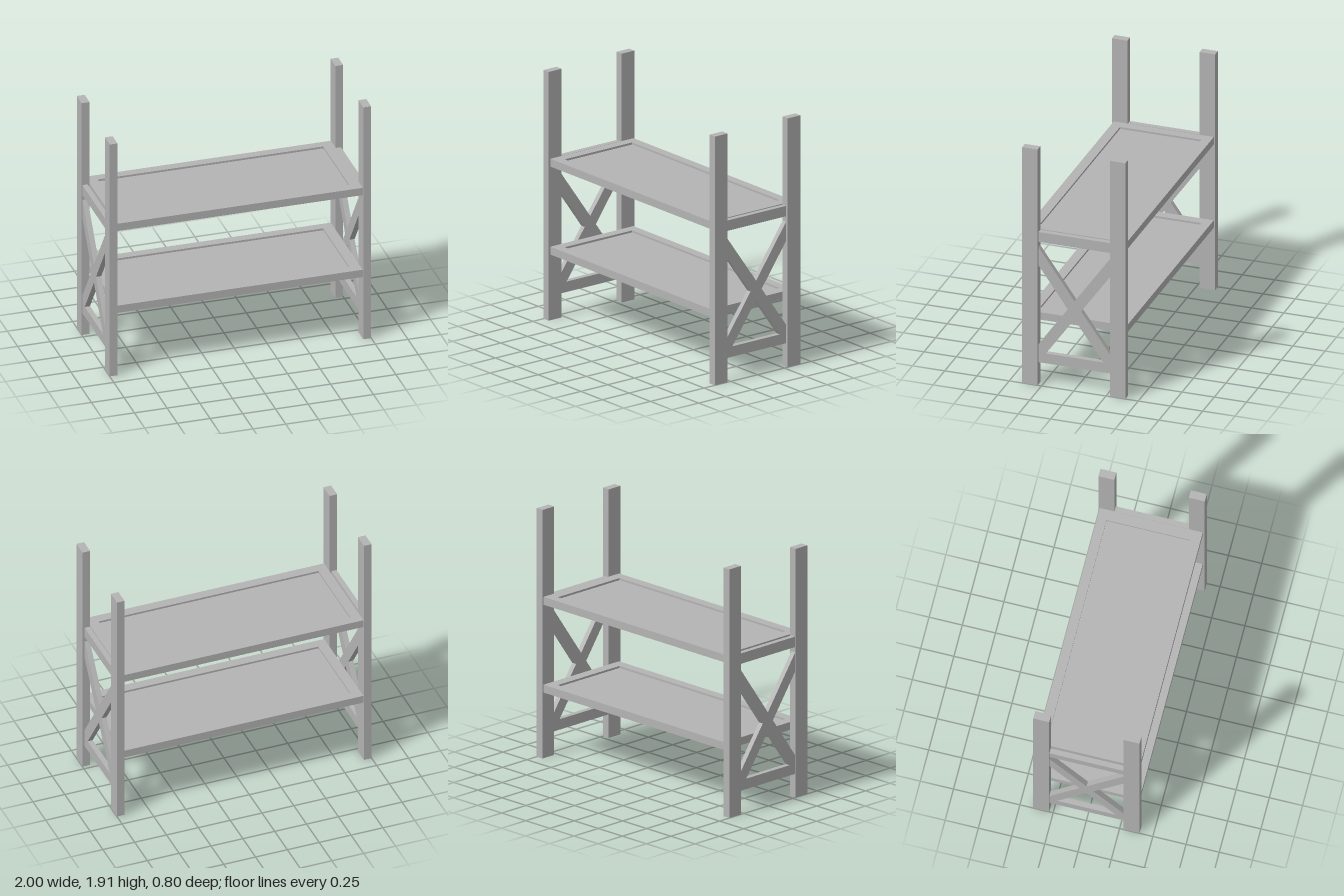
import * as THREE from 'three';

const wood = new THREE.MeshStandardMaterial({ color: 0xb4b4b4, side: THREE.DoubleSide });
wood.name = 'greyFinish';

// Box given by its limits on each axis
function box(name, [x0, x1], [y0, y1], [z0, z1]) {
  const mesh = new THREE.Mesh(new THREE.BoxGeometry(x1 - x0, y1 - y0, z1 - z0), wood);
  mesh.position.set((x0 + x1) / 2, (y0 + y1) / 2, (z0 + z1) / 2);
  mesh.name = name;
  return mesh;
}

// Hollow-footed post: a box without its bottom face
function post(sx, sz) {
  const mesh = box('post', [-0.03, 0.03], [0, 1.91], [-0.06, 0.06]);
  const index = [...mesh.geometry.index.array];
  index.splice(18, 6);
  mesh.geometry.setIndex(index);
  mesh.geometry.clearGroups();
  mesh.position.x = sx * 0.97;
  mesh.position.z = sz * 0.34;
  return mesh;
}

// Framed shelf with a recessed panel
function shelf(name, y) {
  const group = new THREE.Group();
  group.name = name;
  const h = [y, y + 0.06];
  group.add(
    box('shelfFrontRail', [-0.94, 0.94], h, [0.31, 0.385]),
    box('shelfBackRail', [-0.94, 0.94], h, [-0.39, -0.32]),
    box('shelfEndRail', [-0.94, -0.865], h, [-0.32, 0.31]),
    box('shelfEndRail', [0.86, 0.94], h, [-0.32, 0.31]),
    box('shelfPanel', [-0.865, 0.86], [y + 0.015, y + 0.045], [-0.32, 0.31])
  );
  return group;
}

// Crossed diagonals as one outline, cut flat at the posts and the lower rail
function crossBrace(x, depth) {
  const c = 0.645, m = 1.41, h = 0.073, e = 0.28, floor = 0.26;
  const half = [
    [0, c - h], [(c - h - floor) / m, floor], [e, floor], [e, c - m * e + h],
    [h / m, c], [e, c + m * e - h], [e, c + m * e + h], [0, c + h]
  ];
  const mirrored = half.slice(1, -1).reverse().map(([z, y]) => [-z, y]);
  const shape = new THREE.Shape([...half, ...mirrored].map(p => new THREE.Vector2(...p)));
  const geometry = new THREE.ExtrudeGeometry(shape, { depth, bevelEnabled: false });
  geometry.translate(0, 0, -depth / 2).rotateY(-Math.PI / 2);
  const mesh = new THREE.Mesh(geometry, wood);
  mesh.position.x = x;
  mesh.name = 'crossBrace';
  return mesh;
}

export function createModel() {
  const model = new THREE.Group();
  model.name = 'shelfUnit';

  for (const sx of [-1, 1]) for (const sz of [-1, 1]) model.add(post(sx, sz));

  model.add(shelf('lowerShelf', 0.505), shelf('upperShelf', 1.18));

  // End frames: two rails and a cross between each pair of posts
  for (const [name, x] of [['rightEnd', -0.975], ['leftEnd', 0.963]]) {
    const end = new THREE.Group();
    end.name = name;
    const across = [x - 0.02, x + 0.02];
    end.add(
      box('lowerRail', across, [0.18, 0.26], [-0.28, 0.28]),
      box('upperRail', across, [1.155, 1.235], [-0.28, 0.28]),
      crossBrace(x, 0.04)
    );
    model.add(end);
  }
  return model;
}
